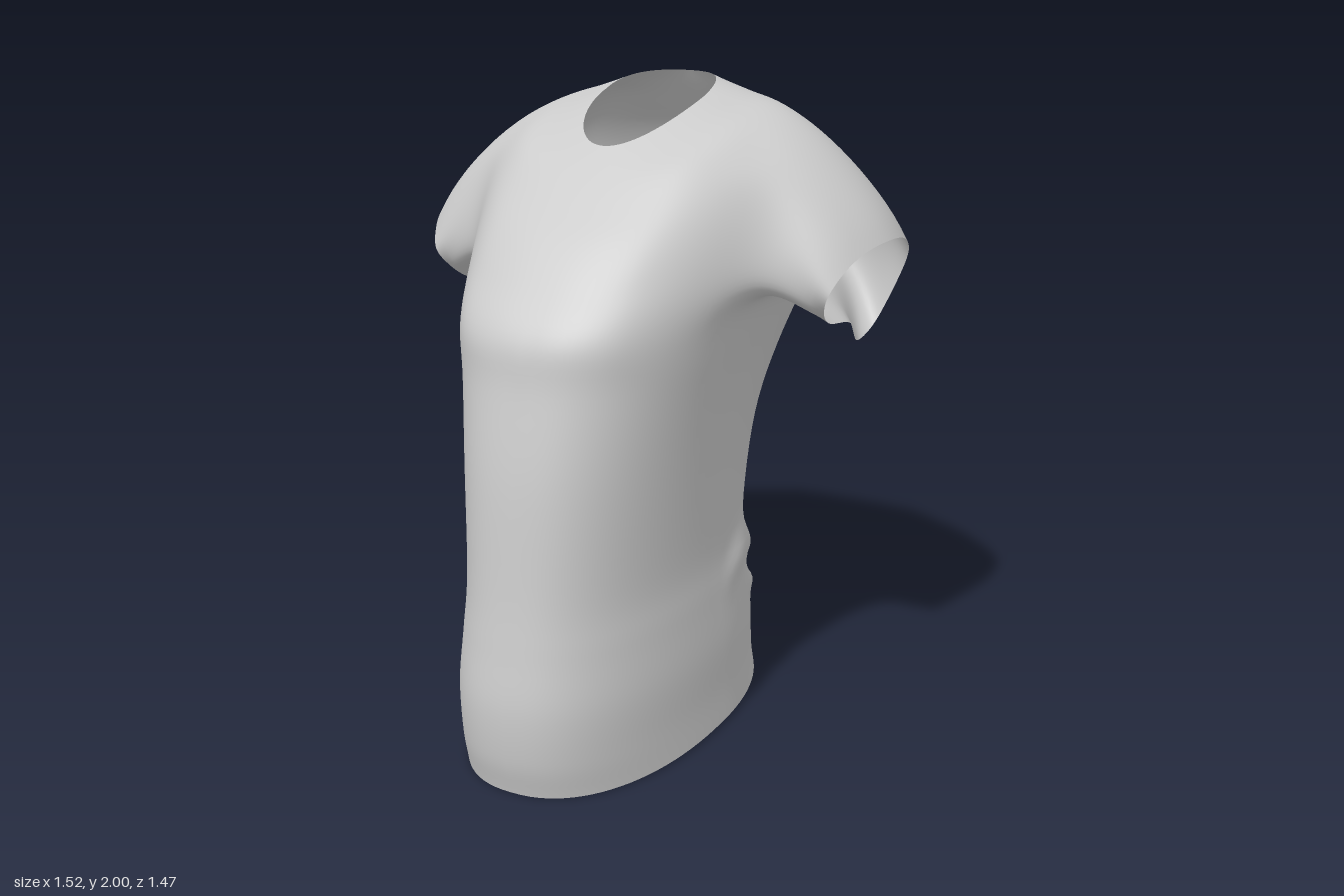
import * as THREE from 'three';
import { mergeGeometries, mergeVertices } from 'three/addons/utils/BufferGeometryUtils.js';

// Cross-sections from hem to collar:
// y front, y side, y back, half width, z front, z side, z back, front roundness, back roundness
const RINGS = [
  [0.00, 0.01, 0.03, 0.365, 0.70, 0.00, -0.60, 0.88, 0.92],
  [0.12, 0.12, 0.12, 0.360, 0.73, 0.00, -0.57, 0.86, 0.92],
  [0.28, 0.28, 0.28, 0.358, 0.74, 0.00, -0.55, 0.85, 0.92],
  [0.45, 0.45, 0.45, 0.345, 0.72, 0.00, -0.53, 0.85, 0.92],
  [0.62, 0.62, 0.62, 0.335, 0.70, 0.00, -0.50, 0.85, 0.94],
  [0.95, 0.95, 0.95, 0.355, 0.67, 0.00, -0.55, 0.84, 0.88],
  [1.21, 1.20, 1.20, 0.390, 0.625, -0.05, -0.67, 0.82, 0.75],
  [1.36, 1.38, 1.40, 0.440, 0.60, -0.18, -0.735, 0.80, 0.6],
  [1.49, 1.52, 1.53, 0.465, 0.505, -0.21, -0.735, 0.82, 0.55],
  [1.60, 1.65, 1.67, 0.475, 0.41, -0.23, -0.69, 0.84, 0.55],
  [1.69, 1.79, 1.79, 0.470, 0.31, -0.24, -0.62, 0.88, 0.62],
  [1.76, 1.90, 1.88, 0.425, 0.23, -0.25, -0.54, 0.92, 0.75],
  [1.81, 1.92, 1.95, 0.310, 0.17, -0.23, -0.48, 0.95, 0.85],
  [1.84, 1.96, 2.00, 0.170, 0.13, -0.20, -0.44, 1, 1],
];
const SUB = 6;                          // rows per cross-section
const COLS = 48;                        // columns from centre front to centre back
const ROWS = (RINGS.length - 1) * SUB;
const HOLE = { bottom: 7 * SUB + 3, top: 11 * SUB, front: 18, back: 34 }; // armhole in the grid

// Sleeve opening as (z, y), three points for each side of the armhole
const CUFF = [
  [-0.02, 1.38], [-0.10, 1.33], [-0.25, 1.30],
  [-0.45, 1.19], [-0.545, 1.22], [-0.57, 1.34],
  [-0.54, 1.46], [-0.42, 1.535], [-0.25, 1.565],
  [-0.10, 1.545], [-0.02, 1.50], [0.02, 1.44],
];

const { smoothstep } = THREE.MathUtils;
const bump = (d, width) => Math.exp(-(d * d) / (width * width));

// Cloth folds: amount pushed outward at height y, c = 1 at the front and -1 at the back
function folds(y, c) {
  const back = Math.max(0, -c);
  const drape = 0.46 + 0.1 * Math.sin(Math.PI * Math.min(1, back * 1.1)) - 0.06 * back;
  const crease = 0.32 + 0.25 * (1 - back);    // rises from the centre back to the sides
  return smoothstep(back, 0.3, 0.95) * (0.025 * bump(y - crease + 0.06, 0.04) - 0.028 * bump(y - crease, 0.03))
    + 0.02 * smoothstep(back, 0, 0.3) * bump(y - drape, 0.06)
    - 0.012 * bump(c + 1, 0.02) * bump(y - 1.35, 0.35);
}

function bodyPoint(ring, t) {
  const [yF, yS, yB, w, zF, zS, zB, eF, eB] = ring;
  const c = Math.cos(t), s = Math.max(0, Math.sin(t));
  const e = c > 0 ? eF : eB;
  const y = yS + (yF - yB) / 2 * c + ((yF + yB) / 2 - yS) * c * c;
  const reach = c > 0 ? zF - zS : zS - zB;
  const f = folds(y, c);
  return new THREE.Vector3(
    t === 0 || t === Math.PI ? 0 : w * s ** e + f * s,
    y,
    zS + reach * Math.sign(c) * Math.abs(c) ** e + f * c);
}

// Relaxes each vertex towards its neighbours by its own weight
function relax(pos, index, weights, passes) {
  const near = weights.map(() => new Set());
  for (let i = 0; i < index.length; i += 3) {
    const tri = index.slice(i, i + 3);
    tri.forEach((a) => tri.forEach((b) => a !== b && near[a].add(b)));
  }
  for (let p = 0; p < passes; p++) {
    const old = pos.slice();
    weights.forEach((weight, n) => {
      if (weight === 0) return;
      for (let k = 0; k < 3; k++) {
        let sum = 0;
        for (const m of near[n]) sum += old[m * 3 + k];
        pos[n * 3 + k] += 0.6 * weight * (sum / near[n].size - old[n * 3 + k]);
      }
    });
  }
}

// Left half: body grid with an armhole, and the sleeve grown from its edge
function halfShirt() {
  const pos = [], index = [], weights = [];
  const add = (p, weight) => {
    weights.push(weight);
    return pos.push(p.x, p.y, p.z) / 3 - 1;
  };
  const quad = (a, b, c, d) => index.push(a, b, c, a, c, d);
  const id = (i, j) => i * (COLS + 1) + j;
  const at = (n) => new THREE.Vector3().fromArray(pos, n * 3);

  // Body
  const profile = new THREE.CubicInterpolant(
    Float32Array.from(RINGS.keys()), Float32Array.from(RINGS.flat()), RINGS[0].length);
  for (let i = 0; i <= ROWS; i++) {
    const ring = Array.from(profile.evaluate(i / SUB));
    for (let j = 0; j <= COLS; j++) {
      const p = bodyPoint(ring, j === COLS ? Math.PI : Math.PI * j / COLS);
      add(p, smoothstep(p.x, 0.24, 0.4) * smoothstep(p.y, 1.2, 1.42));
    }
  }
  const { bottom, top, front, back } = HOLE;
  for (let i = 0; i < ROWS; i++) {
    for (let j = 0; j < COLS; j++) {
      if (i >= bottom && i < top && j >= front && j < back) continue;
      quad(id(i, j), id(i, j + 1), id(i + 1, j + 1), id(i + 1, j));
    }
  }

  // Armhole edge: along the bottom, up the back, over the shoulder, down the front
  const wide = back - front, tall = top - bottom, loop = [];
  for (let k = 0; k < wide; k++) loop.push([id(bottom, front + k), k / wide]);
  for (let k = 0; k < tall; k++) loop.push([id(bottom + k, back), 1 + k / tall]);
  for (let k = 0; k < wide; k++) loop.push([id(top, back - k), 2 + k / wide]);
  for (let k = 0; k < tall; k++) loop.push([id(top - k, front), 3 + k / tall]);

  // Sleeve, with the front of its opening set slightly inward
  const cuff = new THREE.CatmullRomCurve3(CUFF.map(([z, y]) => new THREE.Vector3(
    0.59 + (y - 1.18) * 0.442 - 0.03 * smoothstep(z, -0.3, 0), y, z)), true, 'centripetal');
  const STEPS = 12;
  let last = loop.map(([n]) => n);
  const start = last.map(at);
  const end = loop.map(([, u]) => cuff.getPoint(u / 4));
  for (let k = 1; k <= STEPS; k++) {
    const s = k / STEPS, swell = 0.06 * Math.sin(Math.PI * s);
    const next = start.map((p, n) => {
      const q = p.clone().lerp(end[n], s);
      const up = Math.max(0, end[n].y - 1.4) / 0.16, rear = Math.max(0, -0.25 - end[n].z) / 0.32;
      q.y += swell * 0.6 * up;
      q.x += swell * 0.4 * up;
      q.z -= swell * rear;
      return add(q, 1 - smoothstep(s, 0.4, 1));
    });
    next.forEach((n, m) => {
      const o = (m + 1) % next.length;
      quad(last[m], last[o], next[o], n);
    });
    last = next;
  }
  relax(pos, index, weights, 28);

  const geometry = new THREE.BufferGeometry();
  geometry.setAttribute('position', new THREE.Float32BufferAttribute(pos, 3));
  geometry.setIndex(index);
  return geometry;
}

export function createModel() {
  const left = halfShirt();
  const right = left.clone().scale(-1, 1, 1);
  right.setIndex(Array.from(left.index.array).reverse()); // keep faces outward after mirroring
  const geometry = mergeVertices(mergeGeometries([left, right]), 1e-5);
  geometry.computeVertexNormals();

  const shirt = new THREE.Mesh(geometry,
    new THREE.MeshStandardMaterial({ color: 0xcccccc, side: THREE.DoubleSide }));
  shirt.name = 'shortSleevedShirt';
  const model = new THREE.Group();
  model.name = 'shirt';
  model.add(shirt);
  return model;
}
